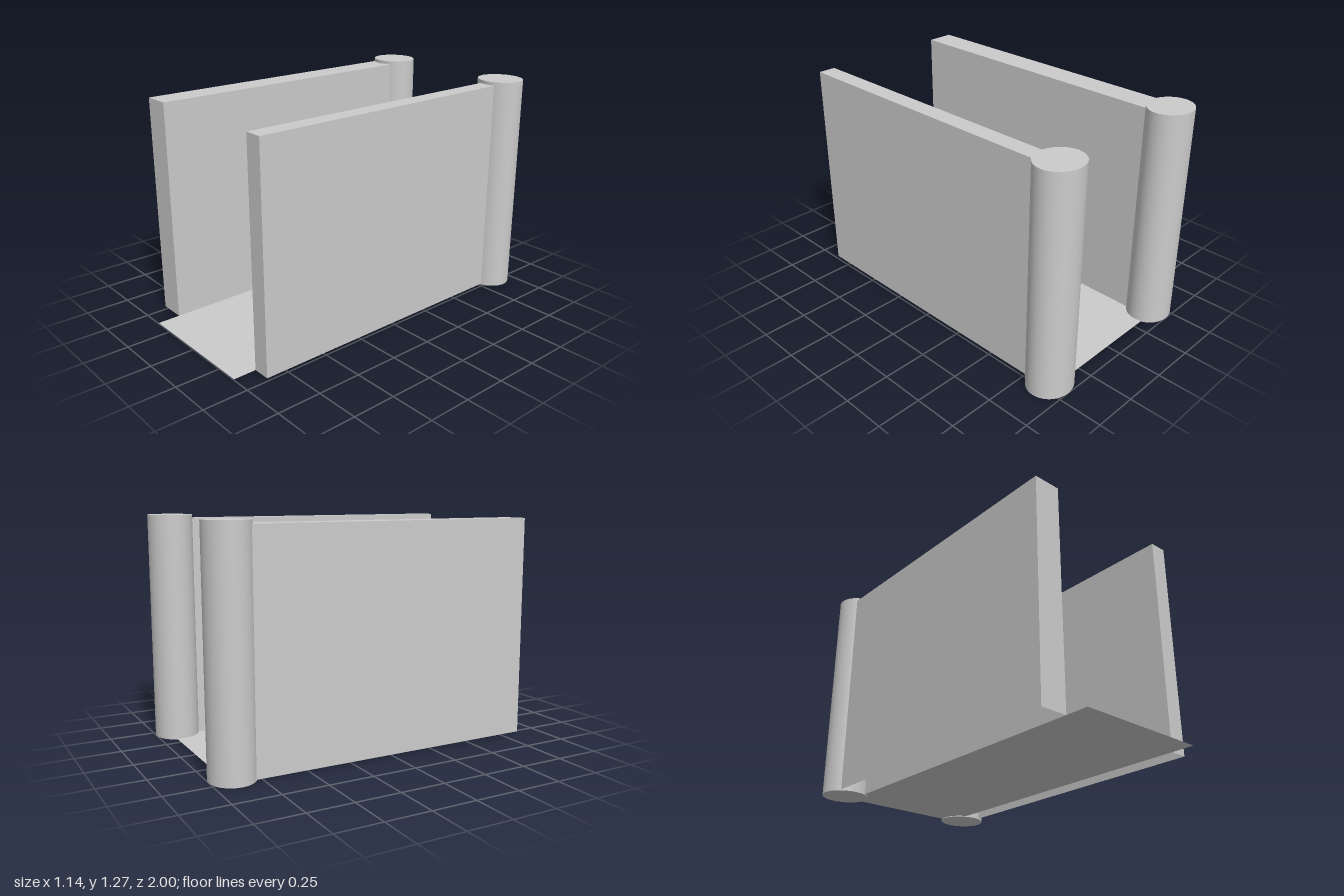
import * as THREE from 'three';

const BASE = 0.005; // height of the floor sheet and wall bottoms

export function createModel() {
  const model = new THREE.Group();
  const solid = new THREE.MeshStandardMaterial({ color: 0xcccccc });
  const sheet = new THREE.MeshStandardMaterial({ color: 0xcccccc, side: THREE.DoubleSide });

  const add = (name, geometry, material, x, y, z) => {
    const mesh = new THREE.Mesh(geometry, material);
    mesh.name = name;
    mesh.position.set(x, y, z);
    model.add(mesh);
    return mesh;
  };

  // Side walls: hollow boxes, open underneath
  const addWall = (name, x0, x1) => {
    const top = 1.25, front = 0.87, back = -0.87;
    const box = new THREE.BoxGeometry(x1 - x0, top - BASE, front - back);
    // Drop the downward face (fourth of the six, six indices each)
    const index = Array.from(box.index.array);
    index.splice(18, 6);
    box.setIndex(index);
    box.clearGroups();
    add(name, box, sheet, (x0 + x1) / 2, (top + BASE) / 2, (front + back) / 2);
  };
  addWall('leftWall', 0.385, 0.485);
  addWall('rightWall', -0.525, -0.37);

  // Slightly oval columns at the back end of each wall
  for (const [name, x] of [['leftColumn', 0.437], ['rightColumn', -0.44]]) {
    const column = new THREE.CylinderGeometry(1, 1, 1.27, 64).scale(0.134, 1, 0.122);
    add(name, column, solid, x, 0.635, -0.878);
  }

  // Thin floor running out past the front of the walls
  const floor = new THREE.PlaneGeometry(0.755, 1.92).rotateX(-Math.PI / 2);
  add('floor', floor, sheet, 0.0075, BASE, 0.04);

  return model;
}
